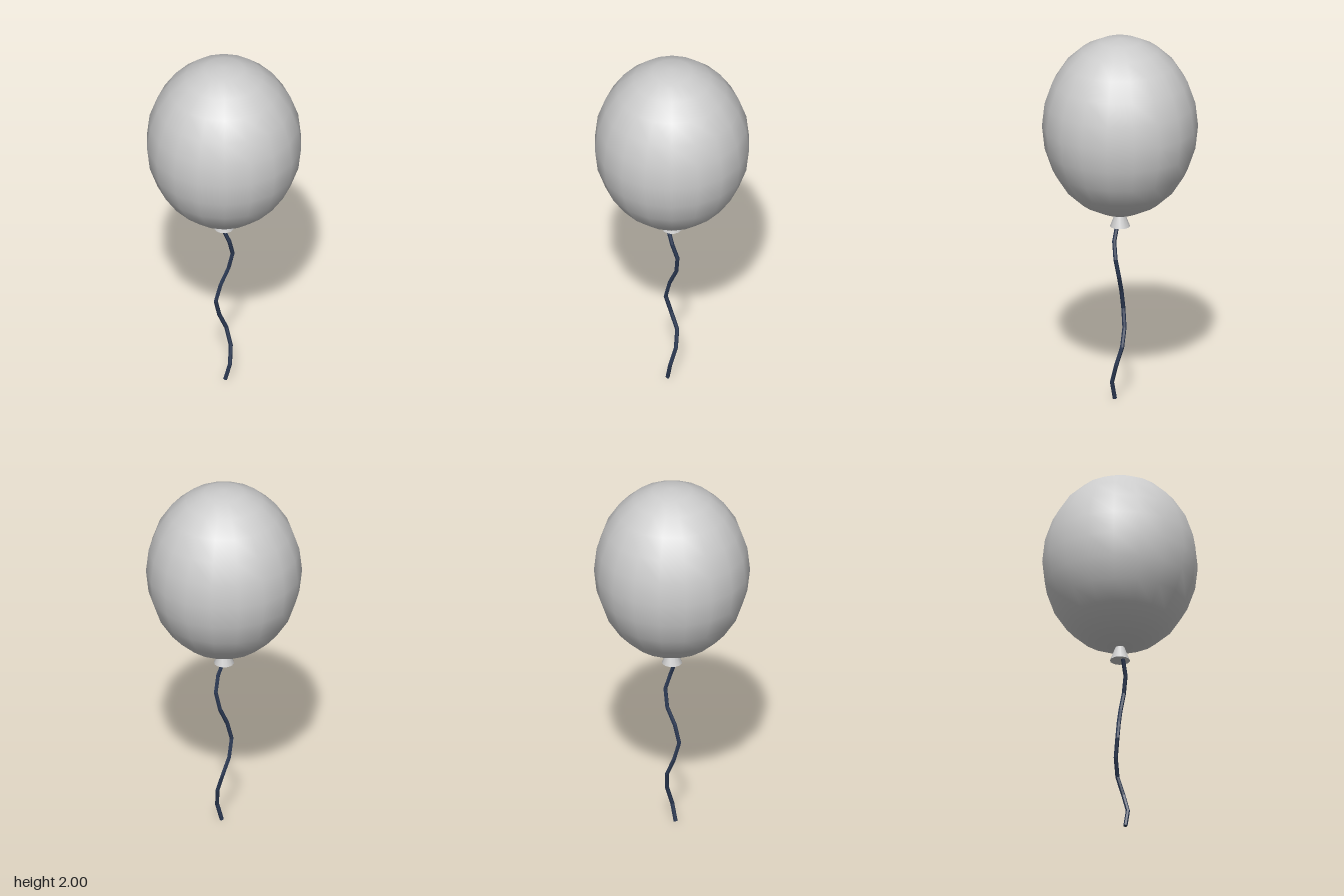
import * as THREE from 'three';

const rubber = new THREE.MeshStandardMaterial({ color: 0xcccccc });
rubber.name = 'grey rubber';
const cord = new THREE.MeshStandardMaterial({ color: 0x2c3a54 });
cord.name = 'navy cord';
cord.flatShading = true;

function addMesh(group, name, geometry, material) {
  const mesh = new THREE.Mesh(geometry, material);
  mesh.name = name;
  group.add(mesh);
  return mesh;
}

export function createModel() {
  const group = new THREE.Group();
  group.name = 'balloonOnString';

  // Slightly tall, smooth balloon, with corners on the z axis
  const body = new THREE.SphereGeometry(1, 18, 12);
  body.rotateY(Math.PI / 2).scale(0.408, 0.484, 0.408).translate(0, 1.516, 0);
  addMesh(group, 'balloon', body, rubber);

  // Flared knot, its top tucked into the balloon
  const knot = new THREE.CylinderGeometry(0.018, 0.053, 0.09, 12);
  knot.translate(0, 1.007, 0);
  addMesh(group, 'knot', knot, rubber);

  // Wavy string, kinked at each point from the knot down
  const points = [
    [0.003, 0.965, 0.022], [0.032, 0.88, 0.005], [0.04, 0.79, -0.022], [0.018, 0.69, -0.02],
    [-0.015, 0.595, 0.01], [-0.036, 0.495, 0.027], [-0.027, 0.395, 0], [0.003, 0.3, -0.027],
    [0.032, 0.2, -0.015], [0.039, 0.1, 0.016], [0.016, 0.004, 0.026],
  ].map((p) => new THREE.Vector3(...p));
  const path = new THREE.CatmullRomCurve3(points);
  path.getPointAt = (u, target) => path.getPoint(u, target);
  path.getTangentAt = (u, target) => path.getTangent(u, target);
  const radius = 0.011;
  addMesh(group, 'string', new THREE.TubeGeometry(path, points.length - 1, radius, 6), cord);

  // Closed lower end of the string
  const end = addMesh(group, 'stringEnd', new THREE.CircleGeometry(radius, 6), cord);
  end.position.copy(points[points.length - 1]);
  end.quaternion.setFromUnitVectors(new THREE.Vector3(0, 0, 1), path.getTangent(1));

  return group;
}
